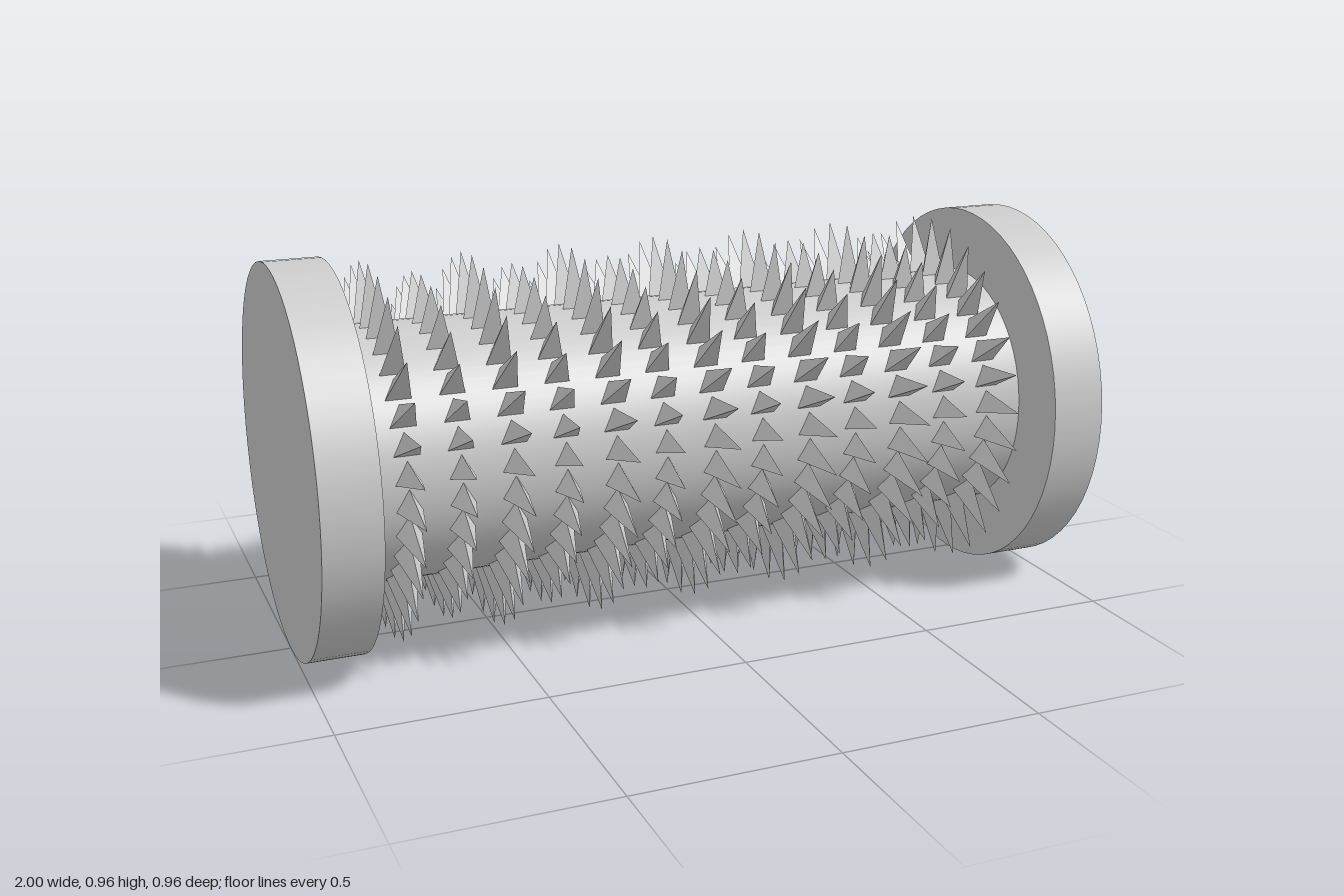
import * as THREE from 'three';
import { mergeGeometries } from 'three/addons/utils/BufferGeometryUtils.js';

const AXIS_Y = 0.48, DRUM_R = 0.315, RINGS = 13, PER_RING = 30, SPACING = 0.127;

// One ring of three-sided spikes standing on the drum, around the x axis
function spikeRing(tipRadius) {
  const base = DRUM_R - 0.005, height = tipRadius - base;
  const spikes = [];
  for (let i = 0; i < PER_RING; i++) {
    const spike = new THREE.ConeGeometry(0.037, height, 3);
    spike.rotateY(Math.PI);
    spike.translate(0, base + height / 2, 0);
    spike.rotateX((i / PER_RING) * Math.PI * 2);
    spikes.push(spike);
  }
  return mergeGeometries(spikes);
}

export function createModel() {
  const model = new THREE.Group();
  model.name = 'spikedRoller';
  const smooth = new THREE.MeshStandardMaterial({ color: 0xcccccc });
  const flat = new THREE.MeshStandardMaterial({ color: 0xcccccc, flatShading: true });

  function add(name, geometry, material, x) {
    const mesh = new THREE.Mesh(geometry, material);
    mesh.name = name;
    mesh.position.set(x, AXIS_Y, 0);
    model.add(mesh);
  }
  const cylinderX = (r, length) =>
    new THREE.CylinderGeometry(r, r, length, 64).rotateZ(Math.PI / 2);

  // Central drum and the two end discs
  add('drum', cylinderX(DRUM_R, 1.74), smooth, 0);
  const disc = cylinderX(0.48, 0.14);
  add('leftEndDisc', disc, smooth, 0.93);
  add('rightEndDisc', disc, smooth, -0.93);

  // Alternating rings of tall and short spikes
  const tall = spikeRing(0.465), short = spikeRing(0.428);
  for (let i = 0; i < RINGS; i++) {
    const isTall = i % 2 === 0;
    add(isTall ? 'tallSpikeRing' : 'shortSpikeRing', isTall ? tall : short, flat,
      (i - (RINGS - 1) / 2) * SPACING);
  }
  return model;
}
